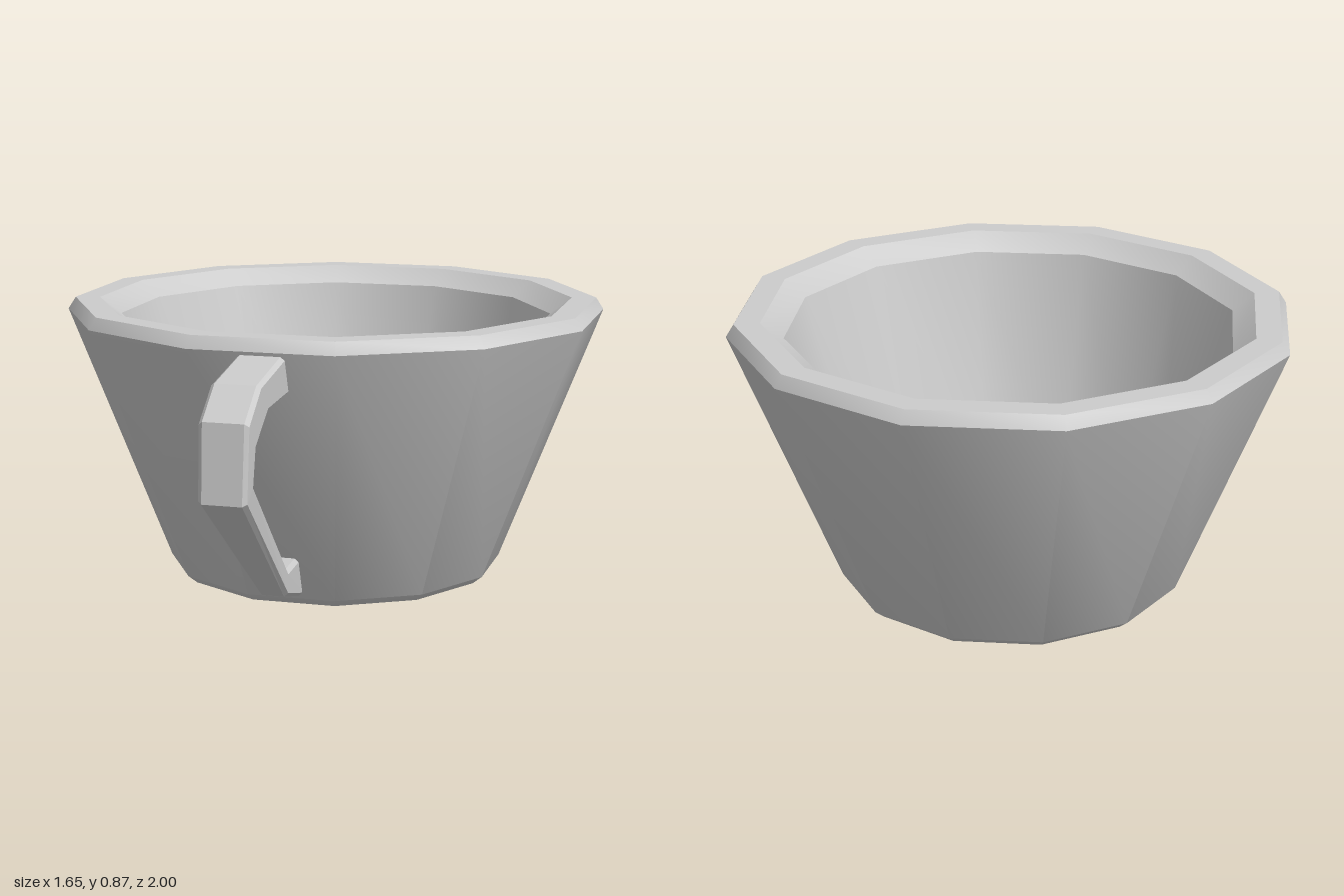
import * as THREE from 'three';
import { toCreasedNormals } from 'three/addons/utils/BufferGeometryUtils.js';

const SIDES = 12;
const CUP_Z = -0.177; // the bowl sits behind centre, the handle in front

// Bowl: closed 12-sided profile, given as [distance to flat side, y]
function bowlGeometry() {
  const profile = [
    [0, 0.055], [0.42, 0.055], [0.44, 0],      // recess under the foot
    [0.485, 0], [0.515, 0.025],                // foot ring and its bevel
    [0.823, 0.835], [0.8, 0.872],              // outer wall and rim bevel
    [0.725, 0.872], [0.66, 0.82],              // rim top and inner bevel
    [0.465, 0.11], [0, 0.11],                  // inner wall and floor
  ];
  const toCorner = 1 / Math.cos(Math.PI / SIDES);
  const points = profile.map(([r, y]) => new THREE.Vector2(r * toCorner, y));
  const geometry = new THREE.LatheGeometry(points, SIDES, Math.PI / SIDES);
  return toCreasedNormals(geometry, 0.6);
}

// Handle: chamfered rectangular sections swept from the rim to the foot
function handleGeometry() {
  // outer z, outer y, inner z, inner y, half width
  const stations = [
    [0.62, 0.828, 0.56, 0.71, 0.072],
    [0.87, 0.785, 0.79, 0.70, 0.072],
    [0.98, 0.70, 0.91, 0.617, 0.072],
    [1.0, 0.475, 0.927, 0.52, 0.07],
    [0.525, 0.085, 0.52, 0.165, 0.046],
    [0.32, 0.028, 0.36, 0.165, 0.037],
  ];
  const chamfer = 0.012;
  const positions = [];
  const indices = [];
  for (const [oz, oy, iz, iy, w] of stations) {
    const c = chamfer / Math.hypot(oz - iz, oy - iy);
    const b = w - chamfer;
    const ring = [[w, c], [w, 1 - c], [b, 1], [-b, 1], [-w, 1 - c], [-w, c], [-b, 0], [b, 0]];
    for (const [x, v] of ring) {
      positions.push(x, iy + (oy - iy) * v, iz + (oz - iz) * v);
    }
  }
  for (let s = 0; s < stations.length - 1; s++) {
    for (let j = 0; j < 8; j++) {
      const a = s * 8 + j;
      const b = s * 8 + (j + 1) % 8;
      indices.push(a, b, b + 8, a, b + 8, a + 8);
    }
  }
  const indexed = new THREE.BufferGeometry();
  indexed.setAttribute('position', new THREE.Float32BufferAttribute(positions, 3));
  indexed.setIndex(indices);
  const geometry = indexed.toNonIndexed();
  geometry.computeVertexNormals();
  return geometry;
}

export function createModel() {
  const model = new THREE.Group();
  model.name = 'cup';
  const material = new THREE.MeshStandardMaterial({ color: 0xcccccc });

  const bowl = new THREE.Mesh(bowlGeometry(), material);
  bowl.name = 'bowl';
  bowl.position.z = CUP_Z;

  const handle = new THREE.Mesh(handleGeometry(), material);
  handle.name = 'handle';

  model.add(bowl, handle);
  return model;
}
